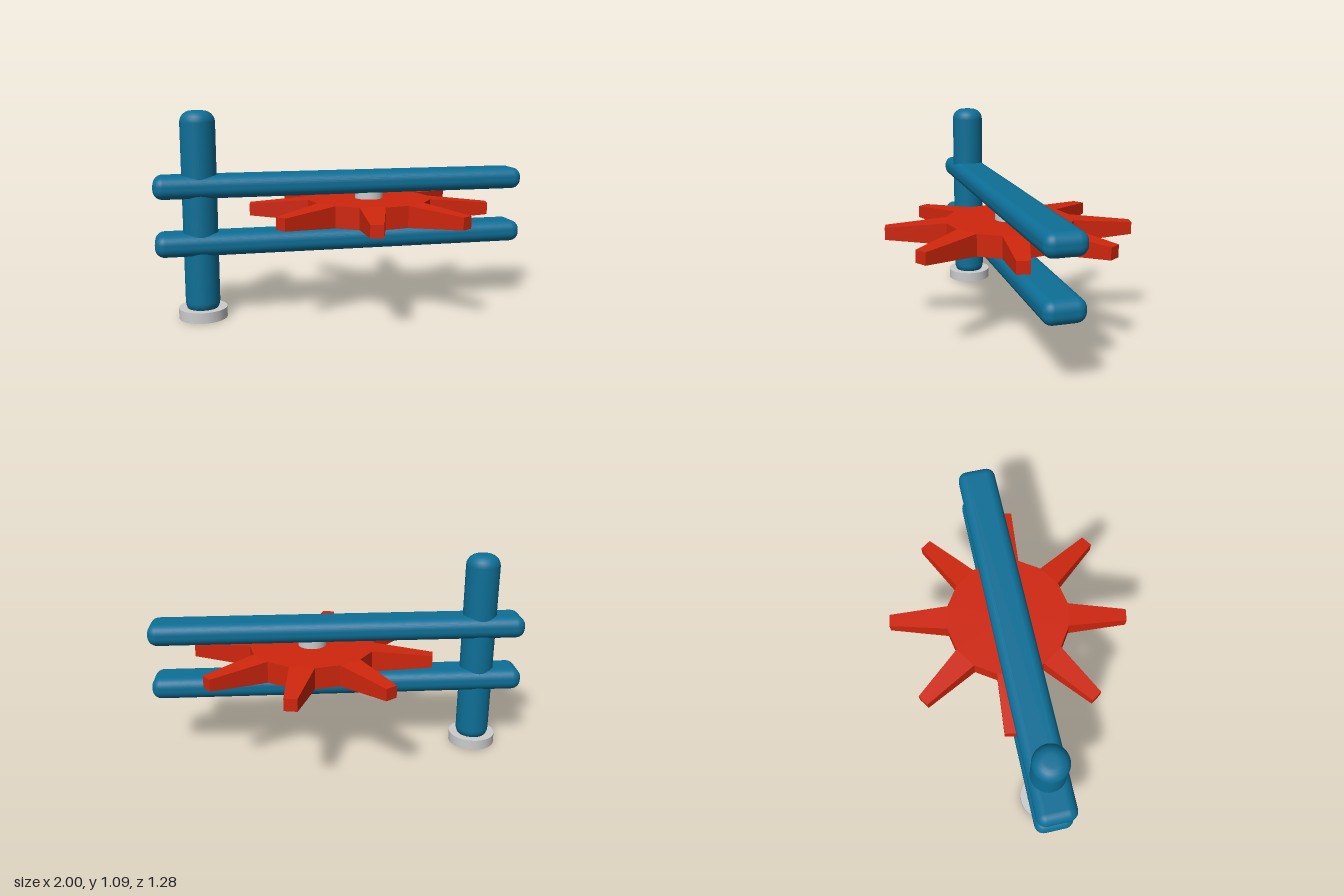
import * as THREE from 'three';
import { toCreasedNormals } from 'three/addons/utils/BufferGeometryUtils.js';
import { RoundedBoxGeometry } from 'three/addons/geometries/RoundedBoxGeometry.js';

const blue = new THREE.MeshStandardMaterial({ color: 0x0d6f97 });
const red = new THREE.MeshStandardMaterial({ color: 0xd0260d, flatShading: true });
const grey = new THREE.MeshStandardMaterial({ color: 0xcccccc });

function addMesh(parent, name, geometry, material, x = 0, y = 0, z = 0) {
  const mesh = new THREE.Mesh(geometry, material);
  mesh.name = name;
  mesh.position.set(x, y, z);
  parent.add(mesh);
  return mesh;
}

// Upright with rounded ends
function postGeometry(radius, bottom, top, round) {
  const points = [new THREE.Vector2(0, bottom)];
  for (let i = 0; i <= 6; i++) {
    const a = (i / 6) * Math.PI / 2;
    points.push(new THREE.Vector2(radius - round + round * Math.sin(a), bottom + round - round * Math.cos(a)));
  }
  for (let i = 0; i <= 6; i++) {
    const a = (i / 6) * Math.PI / 2;
    points.push(new THREE.Vector2(radius - round + round * Math.cos(a), top - round + round * Math.sin(a)));
  }
  points.push(new THREE.Vector2(0, top));
  return new THREE.LatheGeometry(points, 40);
}

// Square-edged ring standing on y = 0
function ringGeometry(outer, inner, height) {
  const points = [[outer, 0], [outer, height], [inner, height], [inner, 0], [outer, 0]]
    .map(([x, y]) => new THREE.Vector2(x, y));
  return toCreasedNormals(new THREE.LatheGeometry(points, 40), 0.6);
}

// Box along +x that narrows towards its outer end
function spikeGeometry(start, end, rootHeight, rootWidth, tipHeight, tipWidth) {
  const geometry = new THREE.BoxGeometry(end - start, rootHeight, rootWidth);
  geometry.translate((start + end) / 2, 0, 0);
  const p = geometry.attributes.position;
  for (let i = 0; i < p.count; i++) {
    if (p.getX(i) < (start + end) / 2) continue;
    p.setY(i, Math.sign(p.getY(i)) * tipHeight / 2);
    p.setZ(i, Math.sign(p.getZ(i)) * tipWidth / 2);
  }
  geometry.computeVertexNormals();
  return geometry;
}

export function createModel() {
  const model = new THREE.Group();
  model.name = 'spikedWheelFrame';
  const postX = -0.765, wheelX = 0.14;

  // Upright and its foot
  addMesh(model, 'post', postGeometry(0.09, 0.03, 1.09, 0.06), blue, postX);
  addMesh(model, 'footRing', ringGeometry(0.127, 0.083, 0.056), grey, postX);

  // Two parallel bars
  for (const [name, y] of [['lowerBar', 0.402], ['upperBar', 0.702]]) {
    addMesh(model, name, new RoundedBoxGeometry(2, 0.116, 0.208, 5, 0.05), blue, 0, y);
  }

  // Axle between the bars
  addMesh(model, 'axle', new THREE.CylinderGeometry(0.075, 0.075, 0.3, 40), grey, wheelX, 0.552);

  // Spiked wheel: a sixteen-sided hub with a spike on every other side
  const wheel = new THREE.Group();
  wheel.name = 'spikedWheel';
  wheel.position.set(wheelX, 0.552, 0);
  wheel.rotation.y = THREE.MathUtils.degToRad(33.9);
  model.add(wheel);
  const radius = 0.335, half = Math.PI / 16, thickness = 0.115;
  const hub = addMesh(wheel, 'hub', new THREE.CylinderGeometry(radius, radius, thickness, 16), red);
  hub.rotation.y = half;
  const spike = spikeGeometry(radius * Math.cos(half), 0.645, thickness, 2 * radius * Math.sin(half), 0.064, 0.066);
  for (let i = 0; i < 8; i++) {
    addMesh(wheel, 'spike', spike, red).rotation.y = i * Math.PI / 4;
  }

  return model;
}
